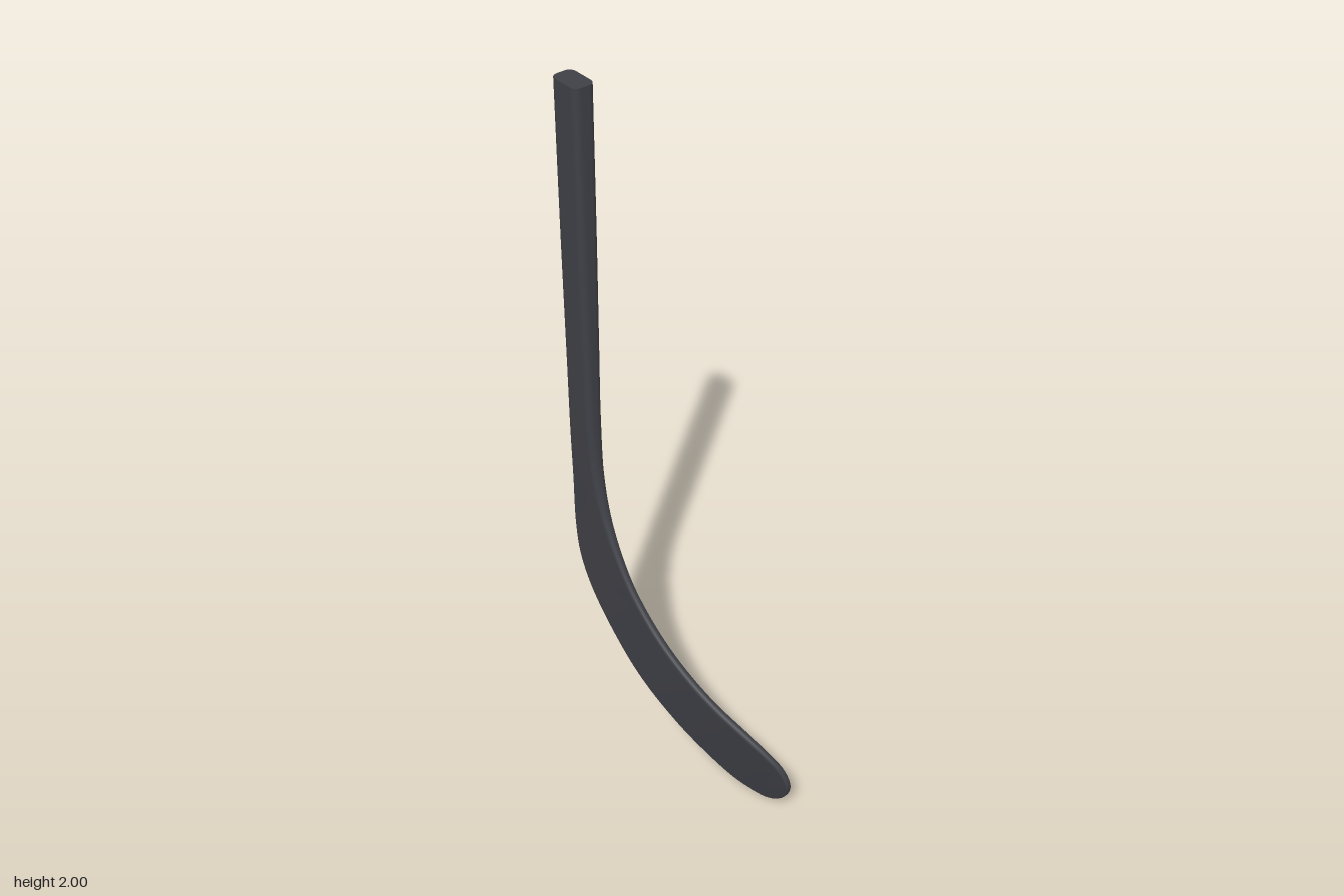
import * as THREE from 'three';

// Stations from shaft top to blade tip:
// heel-side edge (x, y, z), inner edge (x, y, z), thickness
const STATIONS = [
  [-0.36, 2, 0.07, -0.265, 2, 0.07, 0.06],
  [-0.36, 1.6, 0.07, -0.265, 1.6, 0.07, 0.057],
  [-0.36, 1.25, 0.07, -0.265, 1.25, 0.07, 0.051],
  [-0.36, 1.0, 0.07, -0.264, 1.05, 0.07, 0.046],
  [-0.36, 0.82, 0.07, -0.252, 0.88, 0.07, 0.038],
  [-0.36, 0.67, 0.07, -0.225, 0.765, 0.07, 0.03],
  [-0.348, 0.575, 0.07, -0.18, 0.665, 0.07, 0.025],
  [-0.31, 0.49, 0.07, -0.12, 0.57, 0.067, 0.022],
  [-0.23, 0.385, 0.065, -0.03, 0.47, 0.056, 0.022],
  [-0.12, 0.268, 0.051, 0.06, 0.392, 0.038, 0.022],
  [0, 0.16, 0.018, 0.15, 0.324, 0.012, 0.022],
  [0.1, 0.077, -0.022, 0.24, 0.262, -0.023, 0.022],
  [0.17, 0.026, -0.054, 0.3, 0.215, -0.051, 0.021],
  [0.215, 0.005, -0.076, 0.34, 0.17, -0.072, 0.02],
  [0.25, 0, -0.088, 0.357, 0.12, -0.083, 0.018],
  [0.285, 0.013, -0.092, 0.347, 0.08, -0.088, 0.016],
  [0.31, 0.032, -0.092, 0.331, 0.055, -0.09, 0.012],
];

// Rounded rectangle outline, counter-clockwise
function roundedSection(width, thickness) {
  const r = Math.min(0.018, thickness * 0.46, width * 0.46);
  const pts = [];
  [[1, 1], [-1, 1], [-1, -1], [1, -1]].forEach(([sx, sy], corner) => {
    for (let k = 0; k <= 5; k++) {
      const a = (corner + k / 5) * Math.PI / 2;
      pts.push([
        sx * (width / 2 - r) + r * Math.cos(a),
        sy * (thickness / 2 - r) + r * Math.sin(a),
      ]);
    }
  });
  return pts;
}

// Loft rounded sections between the two edge curves
function loftStick() {
  const curve = (f) => new THREE.CatmullRomCurve3(STATIONS.map(f));
  const heelEdge = curve((s) => new THREE.Vector3(s[0], s[1], s[2]));
  const innerEdge = curve((s) => new THREE.Vector3(s[3], s[4], s[5]));
  const thick = curve((s, i) => new THREE.Vector3(i, s[6], 0));
  const middle = (t) => heelEdge.getPoint(t).add(innerEdge.getPoint(t)).multiplyScalar(0.5);

  const rows = (STATIONS.length - 1) * 6;
  const positions = [];
  const indices = [];
  let n = 0;
  for (let i = 0; i <= rows; i++) {
    const t = i / rows;
    const across = innerEdge.getPoint(t).sub(heelEdge.getPoint(t));
    const width = across.length();
    across.normalize();
    const along = middle(Math.min(1, t + 0.005)).sub(middle(Math.max(0, t - 0.005)));
    const normal = along.cross(across).normalize();
    const ring = roundedSection(width, thick.getPoint(t).y);
    n = ring.length;
    for (const [u, v] of ring) {
      const p = middle(t).addScaledVector(across, u).addScaledVector(normal, v);
      positions.push(p.x, p.y, p.z);
    }
  }
  for (let i = 0; i < rows; i++) {
    for (let j = 0; j < n; j++) {
      const a = i * n + j;
      const b = i * n + (j + 1) % n;
      indices.push(a, b, a + n, b, b + n, a + n);
    }
  }
  // Closed tip of the blade
  const tip = middle(1);
  positions.push(tip.x, tip.y, tip.z);
  for (let j = 0; j < n; j++) {
    indices.push((rows + 1) * n, rows * n + j, rows * n + (j + 1) % n);
  }
  const geometry = new THREE.BufferGeometry();
  geometry.setAttribute('position', new THREE.Float32BufferAttribute(positions, 3));
  geometry.setIndex(indices);
  geometry.computeVertexNormals();
  return geometry;
}

export function createModel() {
  const group = new THREE.Group();
  group.name = 'hockeyStick';
  const material = new THREE.MeshStandardMaterial({ color: 0x3f4046 });

  const stick = new THREE.Mesh(loftStick(), material);
  stick.name = 'shaftAndBlade';
  group.add(stick);

  // Flat end of the shaft
  const outline = roundedSection(0.095, 0.06).map(([x, y]) => new THREE.Vector2(x, y));
  const cap = new THREE.Mesh(new THREE.ShapeGeometry(new THREE.Shape(outline)), material);
  cap.name = 'shaftEnd';
  cap.rotation.x = -Math.PI / 2;
  cap.position.set(-0.3125, 2, 0.07);
  group.add(cap);

  return group;
}
